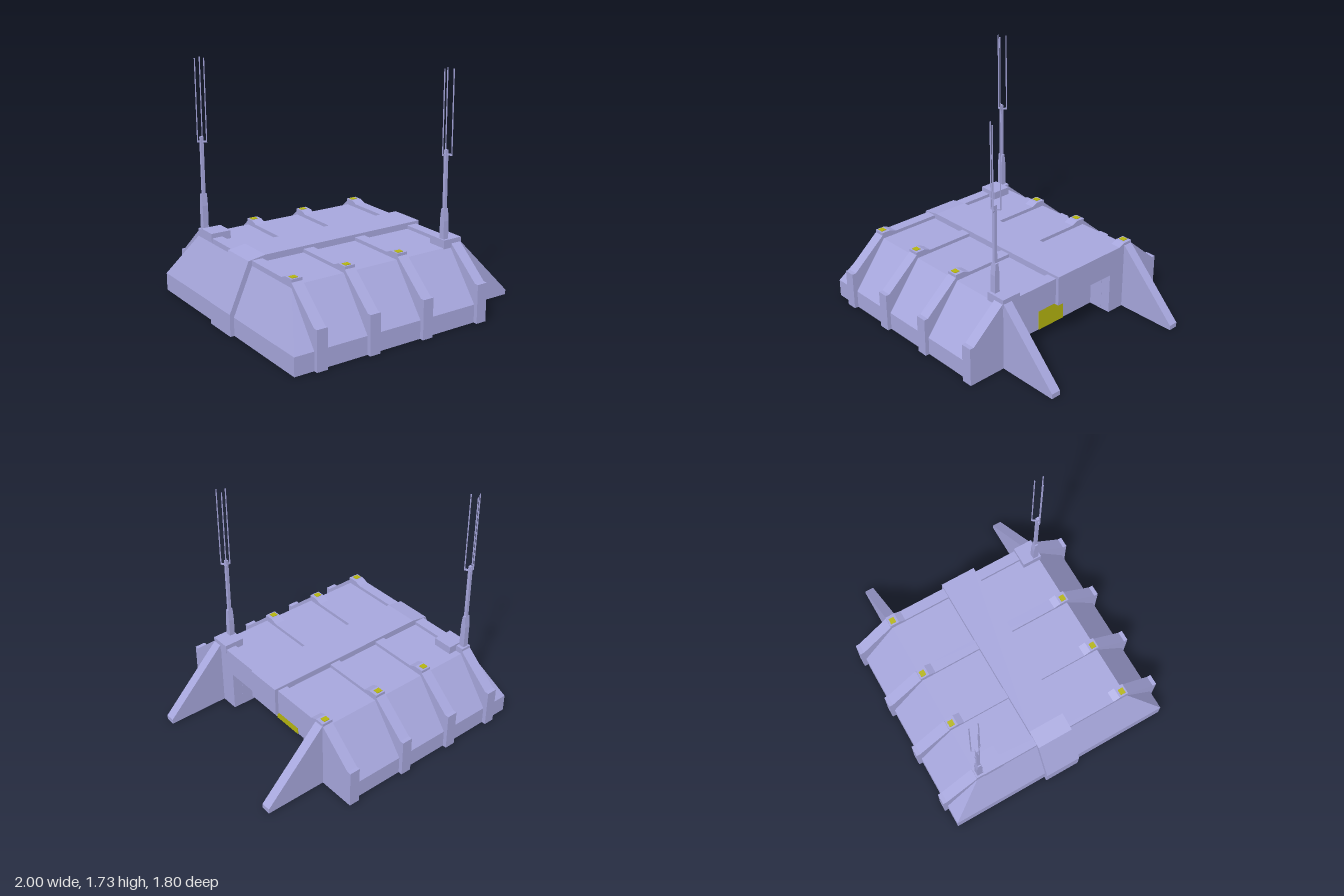
import * as THREE from 'three';

const hull = new THREE.MeshStandardMaterial({ color: 0xa6a6dc, side: THREE.DoubleSide });
hull.name = 'lavenderHull';
const yellow = new THREE.MeshStandardMaterial({ color: 0xb4b410 });
yellow.name = 'yellowPanel';

export function createModel() {
  const root = new THREE.Group();
  root.name = 'bunker';

  const add = (name, geo, mat = hull, parent = root) => {
    const m = new THREE.Mesh(geo, mat);
    m.name = name;
    parent.add(m);
    return m;
  };
  // Box given by its limits
  const box = (name, x0, x1, y0, y1, z0, z1, mat, parent) =>
    add(name, new THREE.BoxGeometry(x1 - x0, y1 - y0, z1 - z0), mat, parent)
      .position.set((x0 + x1) / 2, (y0 + y1) / 2, (z0 + z1) / 2);
  // Extruded profile, centred on its depth
  const slab = (points, depth) => {
    const shape = new THREE.Shape(points.map(([a, b]) => new THREE.Vector2(a, b)));
    return new THREE.ExtrudeGeometry(shape, { depth, bevelEnabled: false }).translate(0, 0, -depth / 2);
  };
  // Profile drawn in z,y and extruded along x
  const slabX = (points, depth) => slab(points, depth).rotateY(-Math.PI / 2);
  const mirrored = (half) => [...half, ...half.map(([z, y]) => [-z, y]).reverse()];

  // Hollow shell: base, wall top and roof outlines, open below and on the right
  const rings = [[-0.97, 0.87, 0], [-0.97, 0.87, 0.13], [-0.82, 0.61, 0.47]].map(([x, z, y]) =>
    [[0.54, y, z], [x, y, z], [x, y, -z], [0.54, y, -z]]);
  const pos = [];
  const quad = (a, b, c, d) => pos.push(...a, ...b, ...c, ...a, ...c, ...d);
  for (let r = 0; r < 2; r++) {
    for (let i = 0; i < 3; i++) quad(rings[r][i + 1], rings[r][i], rings[r + 1][i], rings[r + 1][i + 1]);
  }
  quad(...rings[2].map((p, i) => rings[2][3 - i]).reverse().map((p, i, a) => a[(4 - i) % 4]));
  const shell = new THREE.BufferGeometry();
  shell.setAttribute('position', new THREE.Float32BufferAttribute(pos, 3));
  shell.computeVertexNormals();
  add('shell', shell);

  // Ribs over walls and roof; the last one closes the entrance end
  const outer = [[0.9, 0], [0.9, 0.28], [0.87, 0.28], [0.62, 0.495], [0.62, 0.515], [0.55, 0.515], [0.5, 0.495]];
  const ribX = [-0.785, -0.385, 0.04, 0.505];
  ribX.forEach((x, i) => {
    const inner = i === 3 ? [[0.41, 0.305], [0.41, 0]] : [[0.64, 0.42], [0.64, 0]];
    const profile = [...mirrored(outer), ...inner.map(([z, y]) => [-z, y]).reverse(), ...inner];
    add(i === 3 ? 'entranceWall' : 'rib', slabX(profile, 0.08)).position.x = x;
    // Small lamps on the rib shoulders
    for (const s of [-1, 1]) {
      if ((i === 0 && s < 0) || (i === 3 && s > 0)) continue;
      box('ribLamp', x - 0.028, x + 0.016, 0.513, 0.519, s * 0.587 - 0.02, s * 0.587 + 0.02, yellow);
    }
  });

  // Central spine, running down the left end to the ground
  add('spine', slab([[-1, 0], [-1, 0.155], [-0.85, 0.495], [-0.72, 0.515], [0.57, 0.515], [0.57, 0.295],
    [0.37, 0.295], [0.37, 0.45], [-0.81, 0.45], [-0.93, 0.13], [-0.93, 0]], 0.272));

  // Recessed entrance
  box('recessWall', 0.33, 0.365, 0, 0.305, -0.41, 0.41);
  box('recessCeiling', 0.33, 0.47, 0.305, 0.32, -0.42, 0.42);
  for (const s of [-1, 1]) box('recessSide', 0.33, 0.47, 0, 0.305, s * 0.415 - 0.006, s * 0.415 + 0.006);
  box('door', 0.364, 0.37, 0, 0.292, -0.12, 0.12, yellow);

  // Sloping buttresses beside the entrance
  for (const z of [-0.583, 0.58]) {
    add('buttress', slab([[0.54, 0], [1, 0], [1, 0.035], [0.55, 0.495], [0.54, 0.495]], 0.07)).position.z = z;
  }

  // Roof platforms
  box('backPlatform', -0.83, -0.68, 0.465, 0.528, -0.56, -0.41);
  box('frontPlatform', 0.4, 0.55, 0.465, 0.528, 0.472, 0.62);

  // Three-pronged antennas
  const antenna = (name, x, y, z) => {
    const g = new THREE.Group();
    g.name = name;
    g.position.set(x, y, z);
    root.add(g);
    add('antennaBase', slabX(mirrored([[0.021, -0.015], [0.021, 0.13], [0.011, 0.215]]), 0.042), hull, g);
    box('antennaMast', -0.011, 0.011, 0.2, 0.625, -0.011, 0.011, hull, g);
    for (const [px, pz] of [[-0.03, 0], [0.023, 0.032], [0.023, -0.032]]) {
      const arm = add('prongArm', new THREE.BoxGeometry(Math.hypot(px, pz), 0.012, 0.008), hull, g);
      arm.position.set(px / 2, 0.592, pz / 2);
      arm.rotation.y = -Math.atan2(pz, px);
      box('prong', px - 0.003, px + 0.003, 0.586, 1.173, pz - 0.003, pz + 0.003, hull, g);
    }
  };
  antenna('frontAntenna', 0.43, 0.527, 0.58);
  antenna('backAntenna', -0.79, 0.557, -0.587);
  box('backAntennaFoot', -0.811, -0.769, 0.51, 0.545, -0.608, -0.566);

  return root;
}
